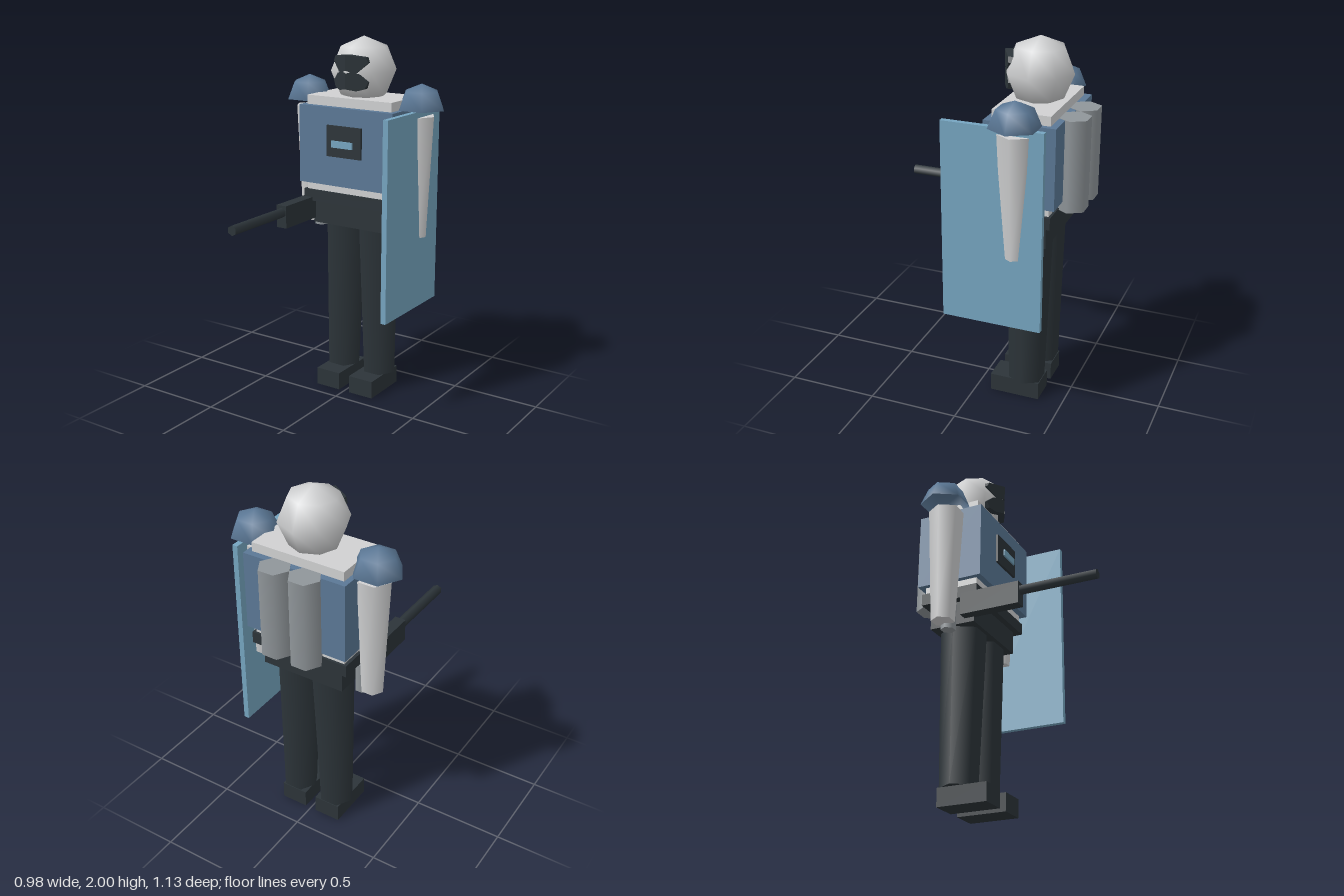
import * as THREE from 'three';

const mat = (name, color, side = THREE.FrontSide) => {
  const m = new THREE.MeshStandardMaterial({ color, side });
  m.name = name;
  return m;
};

export function createModel() {
  const white = mat('off white', 0xd0d1d2);
  const blue = mat('armour blue', 0x5b7896, THREE.DoubleSide);
  const light = mat('shield blue', 0x76a5c0);
  const dark = mat('charcoal', 0x2c3439);
  const grey = mat('tank grey', 0x90969a);

  const group = new THREE.Group();
  const Z = -0.275; // depth of the body axis

  const add = (name, geo, material, x = 0, y = 0, z = 0) => {
    const mesh = new THREE.Mesh(geo, material);
    mesh.name = name;
    mesh.position.set(x, y, z);
    group.add(mesh);
    return mesh;
  };
  // box given by its limits on each axis
  const box = (name, material, x0, x1, y0, y1, z0, z1) =>
    add(name, new THREE.BoxGeometry(x1 - x0, y1 - y0, z1 - z0), material,
      (x0 + x1) / 2, (y0 + y1) / 2, (z0 + z1) / 2);
  // upright six-sided column with corners on the x axis
  const column = (name, material, x, z, rTop, rBottom, y0, y1) =>
    add(name, new THREE.CylinderGeometry(rTop, rBottom, y1 - y0, 6).rotateY(Math.PI / 2),
      material, x, (y0 + y1) / 2, z);

  // head
  add('head', new THREE.SphereGeometry(0.182, 8, 4), white, 0, 1.818, Z);

  // visor: two folded halves with a notched outline
  const half = [[0, 0.09], [0.052, 0.083], [0.095, 0.078], [0.108, 0.05], [0.06, 0],
    [0.108, -0.052], [0.092, -0.088], [0.052, -0.1], [0, -0.09], [0, -0.008], [0.024, 0], [0, 0.008]];
  for (const s of [1, -1]) {
    const shape = new THREE.Shape(half.map(([x, y]) => new THREE.Vector2(s * x, y)));
    const geo = new THREE.ExtrudeGeometry(shape, { depth: 0.045, bevelEnabled: false });
    const p = geo.attributes.position;
    for (let i = 0; i < p.count; i++) {
      p.setZ(i, p.getZ(i) - 0.045 - 0.55 * Math.abs(p.getX(i)));
    }
    geo.computeVertexNormals();
    add(s > 0 ? 'visorLeft' : 'visorRight', geo, dark, 0, 1.823, -0.086);
  }

  // torso, vest and chest unit
  box('torso', white, -0.267, 0.267, 1.15, 1.68, -0.427, -0.12);
  box('vest', blue, -0.295, 0.295, 1.2, 1.63, -0.463, -0.085);
  box('chestPanel', dark, -0.109, 0.109, 1.365, 1.535, -0.09, -0.072);
  box('chestScreen', light, -0.065, 0.065, 1.42, 1.457, -0.061, -0.052);

  // belt and hips
  box('belt', dark, -0.285, 0.285, 1.09, 1.155, -0.44, -0.11);
  box('hips', dark, -0.24, 0.24, 0.96, 1.09, -0.405, -0.145);

  // paired parts
  for (const s of [1, -1]) {
    const side = s > 0 ? 'Left' : 'Right';
    add('shoulder' + side,
      new THREE.SphereGeometry(0.134, 6, 2, 0, Math.PI * 2, 0, Math.PI / 2),
      blue, s * 0.358, 1.636, Z);
    column('arm' + side, white, s * 0.34, Z, 0.095, 0.063, 0.94, 1.6);
    column('hand' + side, grey, s * 0.28, Z, 0.04, 0.04, 0.915, 1.08);
    const leg = column('leg' + side, dark, s * 0.113, Z, 0.124, 0.1, 0.1, 0.98);
    leg.rotation.z = s * 0.018;
    box('foot' + side, dark, s > 0 ? 0.033 : -0.185, s > 0 ? 0.185 : -0.033, 0, 0.1, -0.365, -0.085);
    column('tank' + side, grey, s * 0.087, -0.49, 0.087, 0.087, 1.145, 1.632);
  }

  // gun in the right hand
  box('gunBody', dark, -0.294, -0.231, 0.985, 1.11, -0.2, 0.137);
  add('gunBarrel', new THREE.CylinderGeometry(0.028, 0.028, 0.44, 6).rotateX(Math.PI / 2),
    dark, -0.26, 1.07, 0.342);

  // shield on the left arm
  box('shield', light, 0.353, 0.383, 0.55, 1.632, -0.433, 0.107);

  return group;
}
